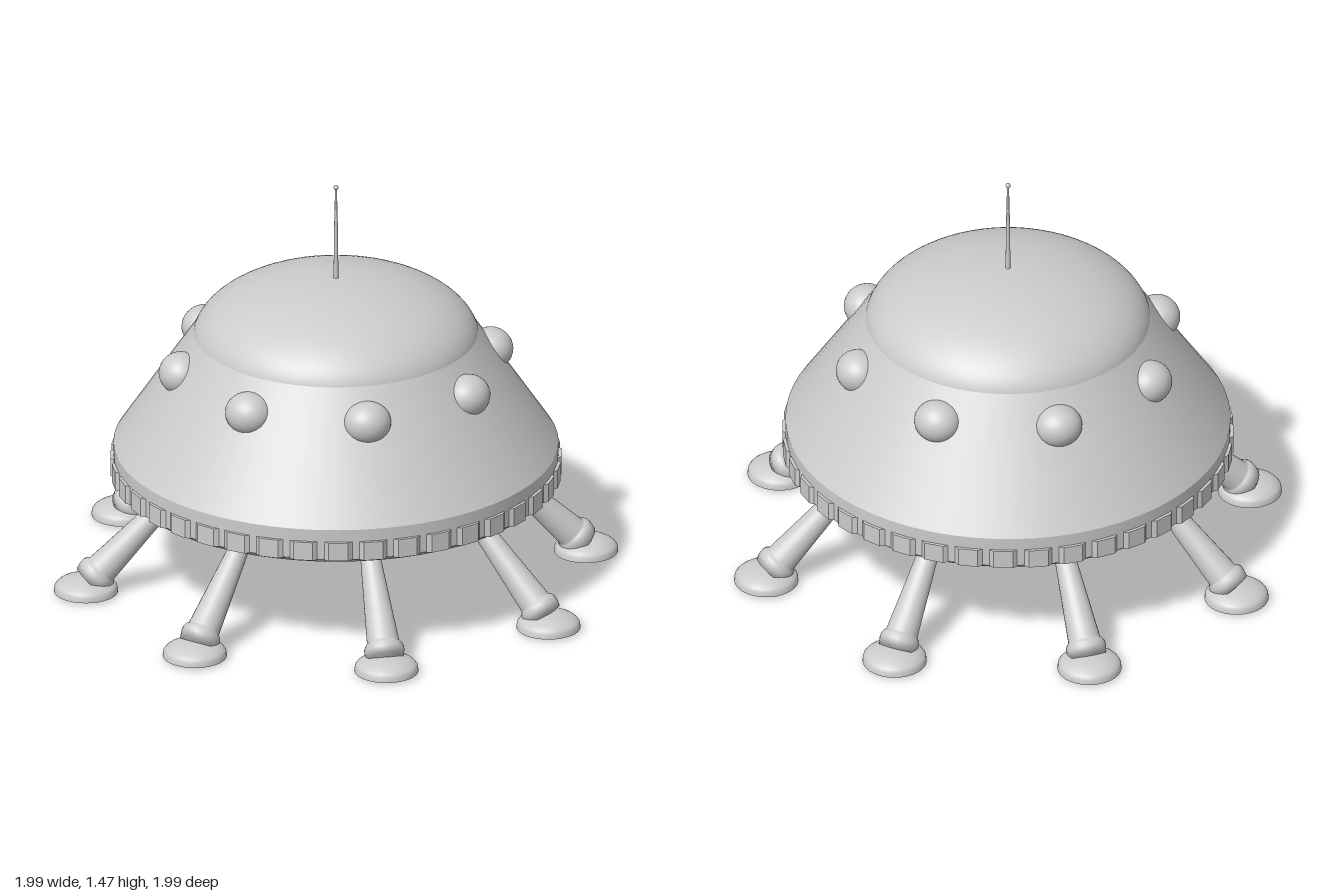
import * as THREE from 'three';

const material = new THREE.MeshStandardMaterial({ color: 0xcccccc });
const TWIST = Math.PI / 32; // the whole craft is turned slightly
const COUNT = 8;

function add(parent, name, geometry, x = 0, y = 0, z = 0) {
  const mesh = new THREE.Mesh(geometry, material);
  mesh.name = name;
  mesh.position.set(x, y, z);
  parent.add(mesh);
  return mesh;
}

function lathe(points, segments) {
  return new THREE.LatheGeometry(points.map(([r, y]) => new THREE.Vector2(r, y)), segments);
}

// One landing leg, splayed outwards along +z
function createLeg() {
  const leg = new THREE.Group();
  leg.name = 'landingLeg';
  const foot = new THREE.Vector3(0, 0.03, 0.88);
  const hip = new THREE.Vector3(0, 0.365, 0.55);
  const length = hip.distanceTo(foot);

  const strut = add(leg, 'strut', lathe([
    [0, 0], [0.064, 0.01], [0.07, 0.035], [0.07, 0.05], [0.064, 0.062], [0.057, 0.068],
    [0.034, length - 0.06], [0.043, length - 0.052], [0.045, length - 0.035],
    [0.036, length - 0.02], [0, length],
  ], 24));
  strut.position.copy(foot);
  strut.quaternion.setFromUnitVectors(new THREE.Vector3(0, 1, 0), hip.clone().sub(foot).normalize());

  // Domed foot pad with a flat sole
  const pad = [[0, 0], [0.112, 0]];
  for (let i = 1; i <= 8; i++) {
    const a = (i / 8) * Math.PI / 2;
    pad.push([i === 8 ? 0 : 0.112 * Math.cos(a), 0.008 + 0.047 * Math.sin(a)]);
  }
  // Doubled corner points keep the sole edge crisp
  pad.splice(1, 0, [0.1115, 0]);
  add(leg, 'footPad', lathe(pad, 32), 0, 0, 0.888);
  return leg;
}

export function createModel() {
  const model = new THREE.Group();
  model.name = 'flyingSaucer';

  // Sloping hull
  add(model, 'hull', new THREE.CylinderGeometry(0.489, 0.775, 0.43, 64, 1, true), 0, 0.705, 0);

  // Flattened dome on top
  const dome = add(model, 'dome',
    new THREE.SphereGeometry(0.5, 64, 20, 0, Math.PI * 2, 0, Math.PI / 2), 0, 0.88, 0);
  dome.scale.y = 0.465;

  // Rim below the hull
  add(model, 'rim', new THREE.CylinderGeometry(0.775, 0.775, 0.11, 64, 1, true), 0, 0.435, 0);
  add(model, 'rimBevel', new THREE.CylinderGeometry(0.775, 0.755, 0.018, 64), 0, 0.371, 0);

  // Finely notched band around the rim
  const band = new THREE.Shape();
  const teeth = 40;
  for (let i = 0; i < teeth; i++) {
    for (const [t, r] of [[0, 0.772], [0.15, 0.786], [0.7, 0.786], [0.85, 0.772]]) {
      const a = ((i + t) / teeth) * Math.PI * 2;
      band[i === 0 && t === 0 ? 'moveTo' : 'lineTo'](r * Math.cos(a), r * Math.sin(a));
    }
  }
  band.closePath();
  const bandHole = new THREE.Path();
  bandHole.absarc(0, 0, 0.74, 0, Math.PI * 2, true);
  band.holes.push(bandHole);
  const bandGeometry = new THREE.ExtrudeGeometry(band, { depth: 0.068, bevelEnabled: false, curveSegments: 32 });
  bandGeometry.rotateX(-Math.PI / 2);
  add(model, 'notchedBand', bandGeometry, 0, 0.377, 0);

  // Belly hatch under the hull
  add(model, 'bellyHatch', new THREE.CylinderGeometry(0.365, 0.355, 0.025, 48), 0, 0.355, 0);
  add(model, 'bellyHatchBevel', new THREE.CylinderGeometry(0.355, 0.31, 0.02, 48), 0, 0.334, 0);

  // Ring of lamps and legs
  for (let i = 0; i < COUNT; i++) {
    const angle = TWIST + (i / COUNT) * Math.PI * 2;
    const spoke = new THREE.Group();
    spoke.name = 'spoke' + (i + 1);
    spoke.rotation.y = angle;
    const lamp = add(spoke, 'lamp', new THREE.SphereGeometry(1, 28, 20), 0, 0.797, 0.55);
    lamp.scale.set(0.084, 0.074, 0.078);
    spoke.add(createLeg());
    model.add(spoke);
  }

  // Antenna
  add(model, 'antennaBase', new THREE.CylinderGeometry(0.006, 0.009, 0.25, 12), 0, 1.215, 0);
  add(model, 'antennaTip', new THREE.CylinderGeometry(0.004, 0.005, 0.13, 12), 0, 1.39, 0);
  add(model, 'antennaBall', new THREE.SphereGeometry(0.009, 14, 10), 0, 1.454, 0);

  return model;
}
